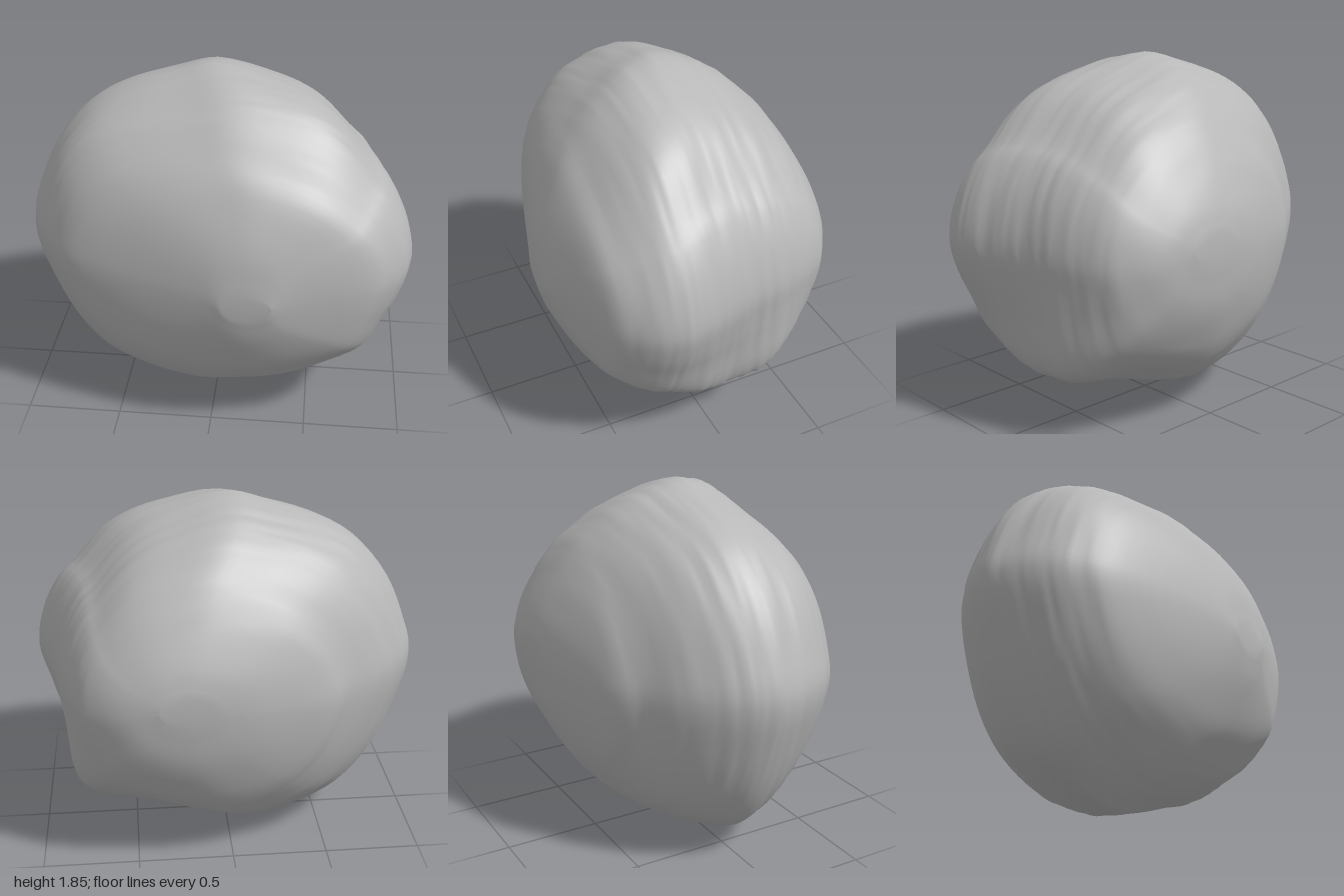
import * as THREE from 'three';

// Widest outline of the boulder, counter-clockwise from its left side: [x, y]
const OUTLINE = [
  [1, .95], [.95, 1.2], [.85, 1.38], [.76, 1.46], [.6, 1.62], [.48, 1.7], [.3, 1.77],
  [.02, 1.84], [-.2, 1.79], [-.45, 1.71], [-.65, 1.6], [-.83, 1.4], [-.95, 1.15],
  [-1, .95], [-.93, .68], [-.82, .42], [-.7, .25], [-.58, .15], [-.3, .03], [-.1, 0],
  [.1, .05], [.45, .16], [.78, .27], [.85, .35], [.91, .58], [.96, .75],
];

// Extent of the layers from back to front: [z, xMin, xMax, yMin, yMax]
const LAYERS = [
  [-.74, .12, .38, .9, 1.06], [-.7, -.14, .55, .66, 1.2], [-.6, -.45, .72, .42, 1.4],
  [-.5, -.58, .79, .28, 1.55], [-.4, -.74, .83, .19, 1.65], [-.3, -.85, .86, .12, 1.73],
  [-.2, -.93, .88, .07, 1.78], [-.1, -.98, .9, .03, 1.82], [0, -1, .93, 0, 1.835],
  [.1, -.98, .96, .01, 1.82], [.2, -.95, .99, .06, 1.78], [.3, -.9, 1, .12, 1.72],
  [.4, -.82, .97, .19, 1.64], [.5, -.7, .9, .29, 1.53], [.6, -.42, .78, .42, 1.4],
  [.7, -.06, .45, .64, 1.17], [.74, .08, .32, .8, .95],
];

// Knobs and hollows: [angle around z, z, angular spread, z spread, height]
const KNOBS = [
  [-.6, -.3, .35, .22, .09],
  [-.7, .3, .35, .2, -.05],
  [-1.2, .32, .35, .2, .06],
  [1.1, .25, .4, .2, .05],
  [2.4, .32, .35, .18, .04],
  [-2, .15, .4, .2, .03],
];

const SIDES = 96;
const STEPS = 64;

function seeded(seed) {
  return () => {
    seed = (seed * 16807) % 2147483647;
    return seed / 2147483647;
  };
}

const layerCurve = (points) => new THREE.CatmullRomCurve3(points, false, 'catmullrom', .5);

const bulge = (angle, z) => KNOBS.reduce((sum, [a, kz, spread, depth, height]) =>
  sum + height * Math.exp(-(((angle - a) / spread) ** 2) - ((z - kz) / depth) ** 2), 0);

function boulderGeometry() {
  const random = seeded(71);
  const profile = new THREE.CatmullRomCurve3(
    OUTLINE.map(([x, y]) => new THREE.Vector3(x, y / .92 - 1, 0)), true).getPoints(SIDES);
  const widths = layerCurve(LAYERS.map(([z, a, b]) => new THREE.Vector3(a, b, z)));
  const heights = layerCurve(LAYERS.map(([z, , , a, b]) => new THREE.Vector3(a, b, z)));
  const positions = [];
  const indices = [];

  // Stack of layers, rounder towards both ends, each with a slightly rough rim
  for (let i = 0; i <= STEPS; i++) {
    const w = widths.getPoint(i / STEPS);
    const h = heights.getPoint(i / STEPS);
    const round = .8 * (w.z / .74) ** 2;
    const phase = random() * Math.PI * 2;
    const rough = .002 + .004 * random();
    for (let j = 0; j < SIDES; j++) {
      const p = profile[j];
      const angle = Math.atan2(p.y, p.x);
      const r = 1 + bulge(angle, w.z) + rough * Math.sin(angle * 5 + phase);
      const u = THREE.MathUtils.lerp(p.x, Math.cos(angle), round) * r;
      const v = THREE.MathUtils.lerp(p.y, Math.sin(angle), round) * r;
      positions.push((w.x + w.y) / 2 + u * (w.y - w.x) / 2,
        (h.x + h.y) / 2 + v * (h.y - h.x) / 2, w.z);
    }
  }

  // Skin between neighbouring layers
  for (let i = 0; i < STEPS; i++) {
    for (let j = 0; j < SIDES; j++) {
      const a = i * SIDES + j;
      const b = i * SIDES + (j + 1) % SIDES;
      indices.push(a, b, b + SIDES, a, b + SIDES, a + SIDES);
    }
  }

  // Small caps closing the back and the front
  const last = STEPS * SIDES;
  for (let j = 1; j < SIDES - 1; j++) {
    indices.push(0, j + 1, j, last, last + j, last + j + 1);
  }

  const geometry = new THREE.BufferGeometry();
  geometry.setAttribute('position', new THREE.Float32BufferAttribute(positions, 3));
  geometry.setIndex(indices);
  geometry.computeVertexNormals();
  return geometry;
}

export function createModel() {
  const stone = new THREE.MeshStandardMaterial({ color: 0xb8b8b8 });
  stone.name = 'stone grey';

  const boulder = new THREE.Mesh(boulderGeometry(), stone);
  boulder.name = 'boulder';

  const model = new THREE.Group();
  model.name = 'rock';
  model.add(boulder);
  return model;
}
